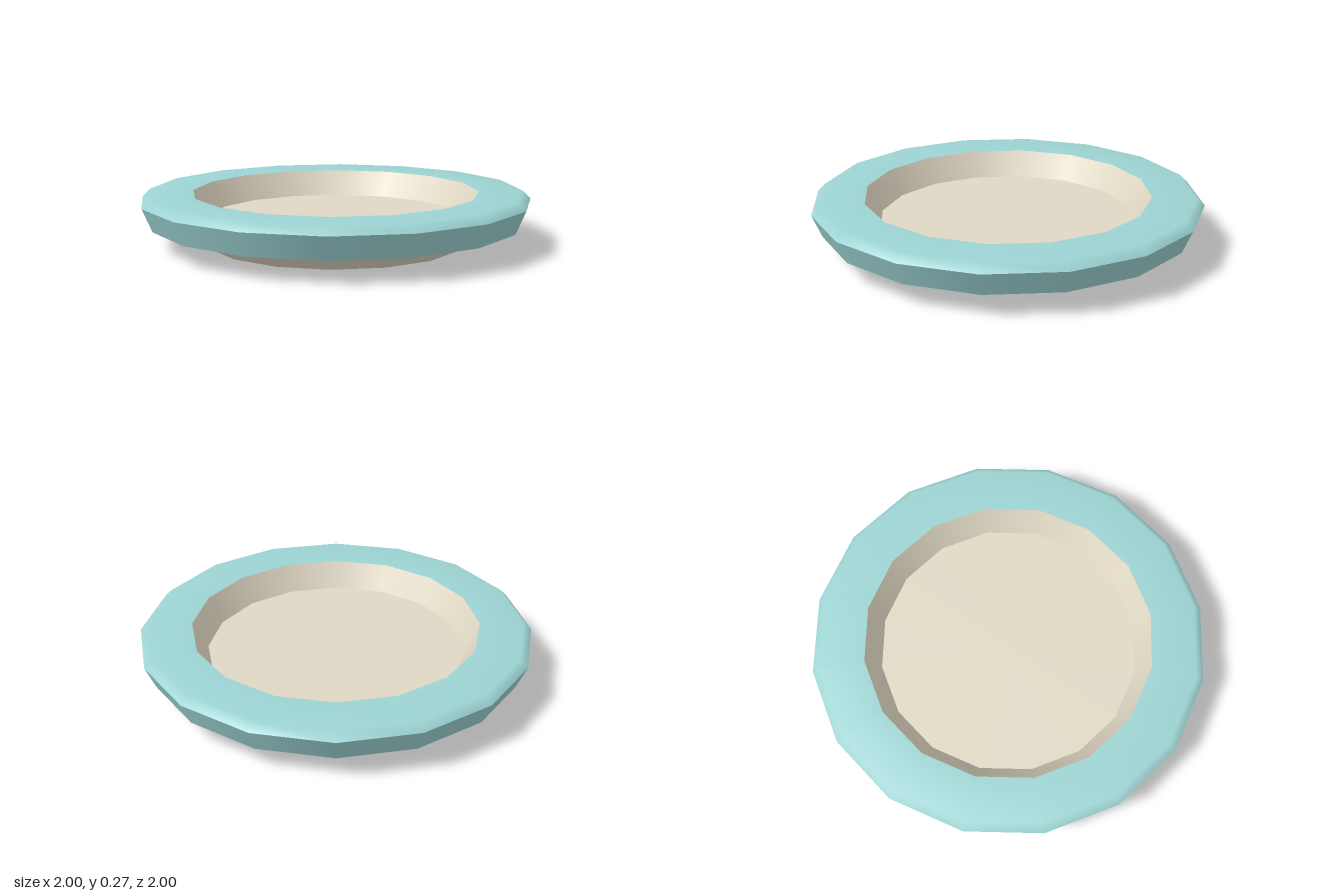
import * as THREE from 'three';

const SIDES = 16;
const STEP = Math.PI / SIDES;
const TO_CORNER = 1 / Math.cos(STEP); // flat-to-flat half width -> corner radius

export function createModel() {
  const group = new THREE.Group();
  const teal = new THREE.MeshStandardMaterial({ color: 0x9dd3d3 });
  const cream = new THREE.MeshStandardMaterial({ color: 0xe0d8c4 });

  // One band of the dish, smooth inside the band and sharp where bands meet
  const band = (name, material, profile) => {
    const points = profile.map(([r, y]) => new THREE.Vector2(r * TO_CORNER, y));
    const mesh = new THREE.Mesh(new THREE.LatheGeometry(points, SIDES, STEP), material);
    mesh.name = name;
    group.add(mesh);
  };

  // Underside, from the centre outwards
  band('base', cream, [[0, 0], [0.66, 0]]);
  band('lowerWall', cream, [[0.66, 0], [0.8, 0.11]]);
  band('rimUnderside', cream, [[0.8, 0.11], [0.95, 0.11]]);

  // Coloured rim with a bevelled outer edge
  band('rimSide', teal, [[0.95, 0.11], [1, 0.23]]);
  band('rimTop', teal, [[1, 0.23], [0.96, 0.27], [0.735, 0.265]]);

  // Recessed well
  band('wellWall', cream, [[0.735, 0.265], [0.66, 0.13]]);
  band('wellFloor', cream, [[0.66, 0.13], [0, 0.13]]);

  group.name = 'plate';
  return group;
}
